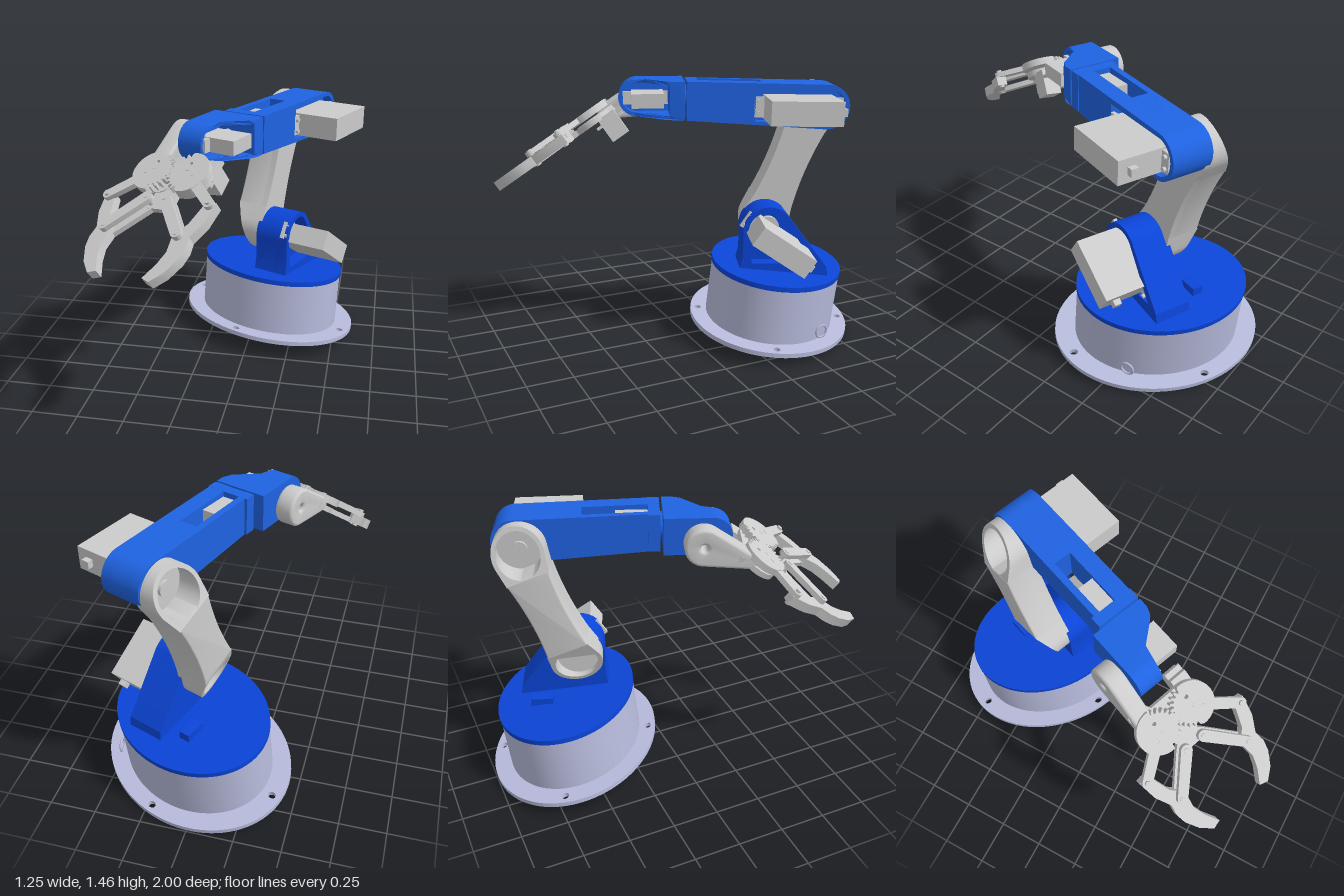
import * as THREE from 'three';
import { toCreasedNormals } from 'three/addons/utils/BufferGeometryUtils.js';

const mat = (color) => new THREE.MeshStandardMaterial({ color });
const grey = mat(0xcccccc), blue = mat(0x0b45d8), lightBlue = mat(0x1f63e2), lavender = mat(0xb8bcdc);

const V = (p) => new THREE.Vector2(p[0], p[1]);
function add(parent, name, geometry, material) {
  const mesh = new THREE.Mesh(geometry, material);
  mesh.name = name;
  parent.add(mesh);
  return mesh;
}
// Points on an arc, angles in degrees
function arc(x, y, r, a0, a1, n = 24) {
  return Array.from({ length: n + 1 }, (_, i) => {
    const a = THREE.MathUtils.degToRad(a0 + (a1 - a0) * i / n);
    return [x + r * Math.cos(a), y + r * Math.sin(a)];
  });
}
const circle = (x, y, r, n = 48) => arc(x, y, r, 0, 360 - 360 / n, n - 1);
// Outline wrapped round two circles
function hull([x1, y1, r1], [x2, y2, r2]) {
  const deg = 180 / Math.PI, d = Math.hypot(x2 - x1, y2 - y1);
  const f = Math.atan2(y2 - y1, x2 - x1) * deg, a = Math.acos((r1 - r2) / d) * deg;
  return [...arc(x1, y1, r1, f + a, f - a + 360), ...arc(x2, y2, r2, f - a, f + a)];
}
function extrude(points, holes, depth, bevel = 0) {
  const shape = new THREE.Shape(points.map(V));
  shape.holes = holes.map((h) => new THREE.Path(h.map(V)));
  return new THREE.ExtrudeGeometry(shape, {
    depth: depth - 2 * bevel, bevelEnabled: bevel > 0, bevelSize: bevel, bevelThickness: bevel, bevelOffset: -bevel, bevelSegments: 4,
  }).translate(0, 0, bevel);
}
// Side outline (z, y) spanning x0..x1; reshape gives a new x for each vertex
function sideSlab(x0, x1, points, { holes = [], bevel = 0, reshape } = {}) {
  const geo = extrude(points, holes, x1 - x0, bevel).rotateY(-Math.PI / 2).translate(x1, 0, 0);
  const p = geo.attributes.position;
  if (reshape) for (let i = 0; i < p.count; i++) p.setX(i, reshape(p.getX(i), p.getY(i), p.getZ(i)));
  return toCreasedNormals(geo, 0.5);
}
// Plan outline (x, z) spanning y0..y1
const planSlab = (y0, y1, points, holes = []) =>
  toCreasedNormals(extrude(points, holes, y1 - y0).rotateX(Math.PI / 2).translate(0, y1, 0), 0.5);
const box = (w, h, d, x, y, z) => new THREE.BoxGeometry(w, h, d).translate(x, y, z);

// Servo motor lying across the arm, with mounting ears, screws and a cable plug
function servo(name, x0, x1, y, z, tilt, len, high) {
  const g = new THREE.Group();
  g.name = name;
  g.position.set(0, y, z);
  g.rotation.x = -tilt;
  add(g, 'servoBody', box(x1 - x0, high, len, (x0 + x1) / 2, 0, 0), grey);
  add(g, 'servoEars', box(0.02, high * 0.85, len * 1.28, x0 + 0.05, 0, 0), grey);
  for (const sz of [-1, 1]) for (const sy of [-1, 1]) {
    add(g, 'earScrew', new THREE.CylinderGeometry(0.012, 0.012, 0.02, 12).rotateZ(Math.PI / 2)
      .translate(x0 + 0.065, sy * high * 0.25, sz * len * 0.58), grey);
  }
  add(g, 'cablePlug', box(0.04, 0.04, 0.03, x1 - 0.07, 0, -len / 2 - 0.015), grey);
  return g;
}

function makeBase() {
  const base = new THREE.Group();
  base.name = 'base';
  base.position.set(0.076, 0.055, -0.5);
  base.quaternion.setFromUnitVectors(new THREE.Vector3(0, 1, 0), new THREE.Vector3(0.055, 1, -0.1).normalize());
  // Unit-radius parts stretched to an oval footprint
  const oval = new THREE.Group();
  oval.name = 'ovalBase';
  oval.rotation.y = -0.63;
  oval.scale.set(0.571, 1, 0.458);
  base.add(oval);
  const bolts = [0, 1, 2, 3].map((k) => {
    const a = -0.236 + k * Math.PI / 2;
    return circle(0.91 * Math.cos(a), 0.91 * Math.sin(a), 0.04, 16);
  });
  const rim = circle(0, 0, 0.803, 96), bore = circle(0, 0, 0.755, 96);
  add(oval, 'flange', planSlab(0, 0.025, circle(0, 0, 1, 96), [bore, ...bolts]), lavender);
  add(oval, 'drum', planSlab(0.025, 0.33, rim, [bore]), lavender);
  add(oval, 'turntable', planSlab(0.33, 0.358, circle(0, 0, 0.812, 96)), blue);
  const port = add(base, 'cablePort', new THREE.TorusGeometry(0.035, 0.006, 8, 24), lavender);
  port.position.set(0.415, 0.08, -0.09);
  port.rotation.y = Math.PI / 2 + 0.1;
  add(base, 'turntableServo', box(0.17, 0.24, 0.36, 0.07, 0.21, 0.02), grey);
  return base;
}

function makeShoulder(arm) {
  const outline = [...arc(-0.45, 0.64, 0.14, 0, 135), [-0.78, 0.43], [-0.79, 0.36], [-0.29, 0.42], [-0.31, 0.5]];
  const recess = [...arc(-0.45, 0.64, 0.112, 0, 135), [-0.71, 0.45], [-0.36, 0.46]];
  add(arm, 'shoulderBracket', sideSlab(-0.095, 0.03, outline), blue);
  add(arm, 'shoulderRim', sideSlab(0.03, 0.11, outline, { holes: [recess] }), blue);
  add(arm, 'shoulderFoot', box(0.06, 0.05, 0.12, -0.2, 0.41, -0.66), blue);
  arm.add(servo('shoulderServo', 0.03, 0.335, 0.59, -0.5, 0.6, 0.34, 0.115));
}

function makeUpperArm(arm) {
  const [z0, y0, z1, y1] = [-0.455, 0.652, -0.715, 1.302];
  const length = Math.hypot(z1 - z0, y1 - y0), uz = (z1 - z0) / length, uy = (y1 - y0) / length;
  const place = ([u, v]) => [(z0 + z1) / 2 + u * uz + v * uy, (y0 + y1) / 2 + u * uy - v * uz];
  const half = length / 2, r = 0.137, bend = 0.23;
  const waist = (u) => 0.1 + 0.035 * (u / half) ** 2;
  // Waisted middle
  const edge = Array.from({ length: 17 }, (_, i) => (i / 8 - 1) * (bend + 0.01));
  const web = [...edge.map((u) => [u, -waist(u)]), ...edge.reverse().map((u) => [u, waist(u)])];
  add(arm, 'upperArm', sideSlab(-0.262, -0.1, web.map(place), { bevel: 0.01 }), grey);
  add(arm, 'upperArmInnerFace', sideSlab(-0.115, -0.075, web.map(place)), grey);
  for (const s of [-1, 1]) {
    // Open cup whose outer face slopes inward towards the tip
    const reshape = (x, y, z) => {
      const u = s * ((z - (z0 + z1) / 2) * uz + (y - (y0 + y1) / 2) * uy);
      return x < -0.2 ? x + 0.42 * Math.max(0, u - bend) : x;
    };
    const end = [[bend, -waist(bend)], ...arc(half, 0, r, -100, 100, 40), [bend, waist(bend)]].map(([u, v]) => place([s * u, v]));
    const [z, y] = place([s * half, 0]);
    add(arm, 'armCup', sideSlab(-0.262, -0.12, end, { holes: [circle(z, y, 0.115)], reshape }), grey);
    add(arm, 'armCupFloor', sideSlab(-0.12, -0.075, end), grey);
    add(arm, 'servoHorn', sideSlab(-0.135, -0.12, circle(z, y, 0.04)), grey);
    add(arm, 'jointShaft', sideSlab(-0.09, 0.06, circle(z, y, 0.06)), grey);
  }
}

function makeForearm(arm) {
  const back = arc(-0.745, 1.325, 0.118, 92, 272);
  const outline = [...back, [0, 1.262], [0, 1.465]];
  const recess = [...arc(-0.745, 1.325, 0.095, 92, 272), [-0.36, 1.255], [-0.36, 1.425]];
  // Cheeks with a slotted core between them
  add(arm, 'forearmInnerCheek', sideSlab(-0.1, -0.065, outline), lightBlue);
  add(arm, 'forearmOuterCheek', sideSlab(0.06, 0.12, outline, { holes: [recess] }), lightBlue);
  add(arm, 'forearmCore', sideSlab(-0.065, 0.06, [...back, [-0.4, 1.234], [-0.4, 1.453]]), lightBlue);
  add(arm, 'forearmRecessFloor', sideSlab(0.03, 0.062, outline), lightBlue);
  add(arm, 'forearmEnd', box(0.24, 0.2, 0.06, 0.005, 1.364, -0.031), lightBlue);
  add(arm, 'rollServo', box(0.09, 0.16, 0.17, -0.015, 1.355, -0.145), grey);
  arm.add(servo('elbowServo', 0.06, 0.35, 1.325, -0.59, 0.02, 0.37, 0.125));
}

function makeWrist(arm) {
  // Rounded outline with points along its straight edges
  const outline = (start, r) => {
    const zs = [0, 0.2, 0.4, 0.6, 0.8].map((k) => start + (0.26 - start) * k);
    return [...zs.map((z) => [z, 1.365 - r]), ...arc(0.26, 1.365, r, -90, 90), ...zs.reverse().map((z) => [z, 1.365 + r])];
  };
  // Rim sweeps from the full width down to the thin tip
  const reshape = (x, y, z) => (x > -0.05 ? x + 0.155 * (1 - THREE.MathUtils.smoothstep(z, 0.07, 0.25)) : x);
  add(arm, 'wristPlate', sideSlab(-0.165, -0.09, outline(0.012, 0.1)), lightBlue);
  add(arm, 'wristRim', sideSlab(-0.09, -0.03, outline(0.012, 0.1), { holes: [outline(0.09, 0.08)], reshape }), lightBlue);
  add(arm, 'rollJoint', new THREE.CylinderGeometry(0.07, 0.07, 0.04, 32).rotateX(Math.PI / 2).translate(-0.01, 1.365, 0.005), lightBlue);
  add(arm, 'wristServo', box(0.2, 0.075, 0.17, 0.02, 1.365, 0.205), grey);
  add(arm, 'wristServoEars', box(0.02, 0.07, 0.24, -0.03, 1.365, 0.215), grey);
  // Grey link carrying the gripper
  add(arm, 'wristLink', sideSlab(-0.27, -0.17, hull([0.21, 1.345, 0.1], [0.44, 1.265, 0.04]), { holes: [circle(0.21, 1.345, 0.02, 16)], bevel: 0.015 }), grey);
}

function makeGripper() {
  const g = new THREE.Group();
  g.name = 'gripper';
  g.position.set(-0.09, 1.268, 0.52);
  g.rotation.set(0.6, 0.06, 0.1);
  add(g, 'palmPlate', planSlab(-0.06, -0.03, hull([-0.1, 0, 0.1], [0.1, 0, 0.1])), grey);
  add(g, 'palmArm', planSlab(-0.06, -0.025, hull([-0.13, -0.12, 0.05], [-0.06, 0.03, 0.07])), grey);
  add(g, 'palmNose', planSlab(-0.06, -0.03, hull([-0.055, 0.165, 0.03], [0.055, 0.165, 0.03])), grey);
  add(g, 'palmNeck', box(0.13, 0.03, 0.13, 0, -0.045, 0.1), grey);
  add(g, 'gripServo', box(0.09, 0.14, 0.1, 0.14, -0.12, -0.08), grey);
  add(g, 'gripServoEars', box(0.09, 0.015, 0.16, 0.14, -0.09, -0.08), grey);
  const link = (name, y, a, b) => add(g, name, planSlab(y, y + 0.028, hull([...a, 0.03], [...b, 0.027])), grey);
  const pin = (p) => add(g, 'pivotPin', planSlab(-0.065, 0.032, circle(p[0], p[1], 0.014, 16)), grey);
  for (const s of [-1, 1]) {
    const at = (x, z) => [s * x, z];
    const gear = at(0.1, 0), inner = at(0.055, 0.165), outer = at(0.3, 0.165), knuckle = at(0.215, 0.35);
    // Gear toothed on the meshing side, plain on the other
    const teeth = Array.from({ length: 96 }, (_, i) => {
      const a = i / 96 * Math.PI * 2;
      const tooth = (Math.floor(i / 2) + (s > 0 ? 0 : 1)) % 2 ? 0.112 : 0.092;
      const r = Math.cos(a) < -0.1 ? tooth : 0.118;
      return at(0.1 + r * Math.cos(a), r * Math.sin(a));
    });
    const holes = [[0.1, 0], [0.14, 0.03], [0.1, -0.05]].map(([x, z]) => circle(s * x, z, 0.011, 12));
    add(g, 'gear', planSlab(-0.015, 0.022, teeth, holes), grey);
    link('driveLink', -0.008, gear, outer);
    link('guideLink', 0, inner, knuckle);
    link('lowerGuideLink', -0.06, inner, knuckle);
    [inner, outer, knuckle].forEach(pin);
    // Finger with a curved tip
    const finger = [[0.275, 0.145], [0.33, 0.15], [0.315, 0.26], [0.275, 0.35], [0.285, 0.41], [0.275, 0.47],
      [0.235, 0.55], [0.18, 0.605], [0.135, 0.59], [0.175, 0.51], [0.195, 0.44], [0.185, 0.37], [0.195, 0.325], [0.235, 0.28]];
    add(g, 'finger', planSlab(-0.055, -0.002, finger.map(([x, z]) => at(x, z))), grey);
  }
  return g;
}

export function createModel() {
  const model = new THREE.Group();
  model.name = 'robotArm';
  model.add(makeBase());
  const arm = new THREE.Group();
  arm.name = 'arm';
  arm.rotation.y = -0.37;
  [makeShoulder, makeUpperArm, makeForearm, makeWrist].forEach((make) => make(arm));
  arm.add(makeGripper());
  model.add(arm);
  return model;
}
